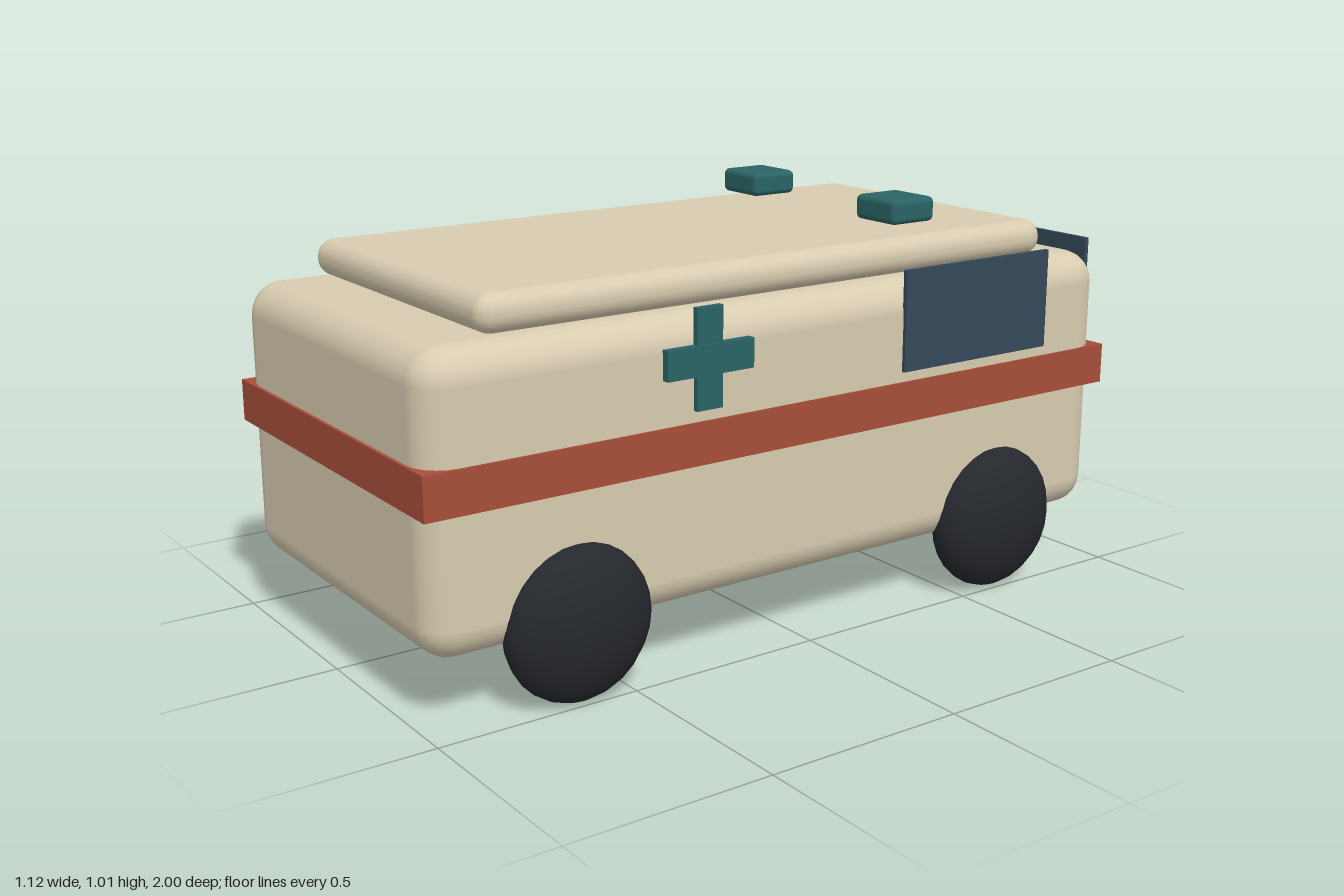
import * as THREE from 'three';
import { RoundedBoxGeometry } from 'three/addons/geometries/RoundedBoxGeometry.js';

const mat = (color) => new THREE.MeshStandardMaterial({ color });

export function createModel() {
  const model = new THREE.Group();
  const cream = mat(0xd8ccb0), red = mat(0xa84f3a), teal = mat(0x2a6466);
  const glass = mat(0x34495a), rubber = mat(0x25282d);
  const midZ = 0.005;

  function add(name, geometry, material, x, y, z) {
    const mesh = new THREE.Mesh(geometry, material);
    mesh.name = name;
    mesh.position.set(x, y, z);
    model.add(mesh);
    return mesh;
  }
  const box = (w, h, d) => new THREE.BoxGeometry(w, h, d);

  // Body shell, raised roof and the stripe around the waist
  add('body', new RoundedBoxGeometry(0.944, 0.687, 1.974, 3, 0.08), cream, 0, 0.497, midZ);
  add('roof', new RoundedBoxGeometry(0.84, 0.09, 1.64, 3, 0.043), cream, 0, 0.886, midZ);
  add('stripe', box(0.954, 0.102, 1.99), red, 0, 0.541, midZ);

  // Rear window
  add('rearWindow', box(0.8, 0.252, 0.012), glass, 0, 0.737, -0.994);

  for (const [side, s] of [['left', 1], ['right', -1]]) {
    // Side window
    add(side + 'Window', box(0.012, 0.25, 0.474), glass, s * 0.475, 0.743, -0.53);

    // Cross made of two bars
    add(side + 'CrossUpright', box(0.015, 0.236, 0.07), teal, s * 0.478, 0.738, 0.288);
    add(side + 'CrossBar', box(0.022, 0.07, 0.236), teal, s * 0.48, 0.736, 0.288);

    // Roof beacon, floating just above the roof
    add(side + 'Beacon', new RoundedBoxGeometry(0.148, 0.062, 0.136, 3, 0.015), teal, s * 0.279, 0.981, -0.426);

    // Wheels are flattened balls
    for (const [end, e] of [['Front', 1], ['Rear', -1]]) {
      const wheel = add(side + end + 'Wheel', new THREE.SphereGeometry(0.185, 20, 14), rubber,
        s * 0.465, 0.186, midZ + e * 0.625);
      wheel.scale.x = 0.5;
    }
  }
  return model;
}
